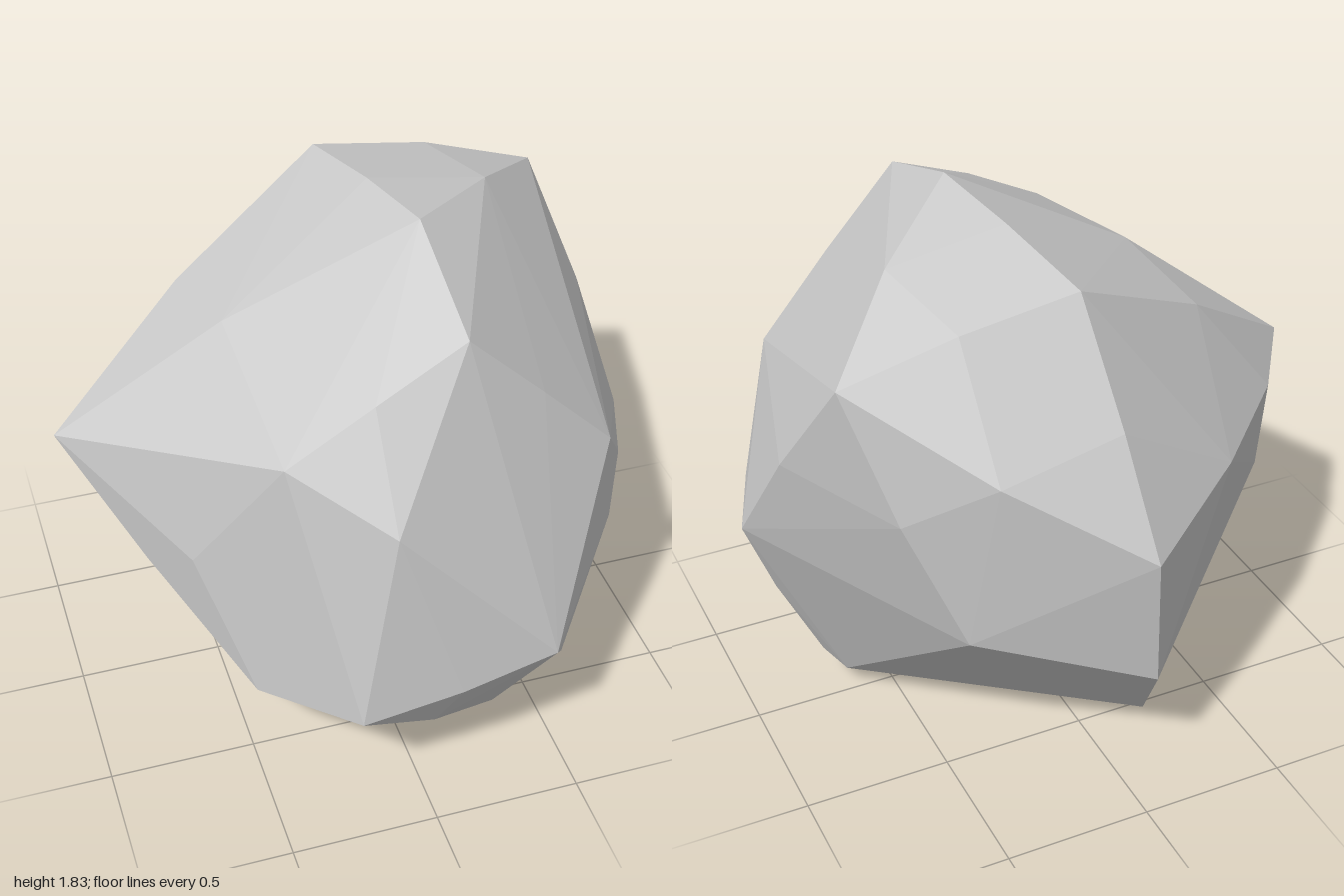
import * as THREE from 'three';
import { ConvexGeometry } from 'three/addons/geometries/ConvexGeometry.js';

// Main corners of the boulder
const corners = [
  [-1, 1.09, -0.02], [0.17, 1.83, 0.2], [0.17, 1.68, 0.66], [0.82, 1.55, -0.5],
  [1, 0.8, 0], [-0.02, 0.98, -0.98], [0.04, 1.72, -0.53], [-0.43, 1.4, 0.75],
  [-0.25, 0.49, 0.97], [0.41, 0.6, 0.95], [0.7, 1.14, 0.59], [0.73, 0.8, 0.58],
  [-0.52, 0.45, 0.68], [0.3, 0.17, 0.7], [-0.33, 0, 0.05], [0.66, 0.08, 0.02],
  [0.72, 0.14, 0.09], [-0.22, 0.03, -0.56], [0.49, 0.64, -0.69], [-0.79, 0.73, -0.28],
];

// Slight swellings along the edges and across the broad faces
const swellings = [
  [0.52, 1.72, -0.15], [0.11, 1.79, -0.15], [-0.45, 1.51, 0.1], [-0.14, 1.55, 0.72],
  [-0.13, 1.2, 0.93], [0.08, 0.55, 0.98], [0.03, 0.32, 0.86], [0.93, 1.18, -0.25],
  [0.88, 0.48, 0.07], [0.89, 0.81, 0.29], [0.44, 1.41, 0.63], [0.01, 1.35, -0.78],
  [0.44, 1.66, -0.53], [0.42, 1.26, -0.78], [0.68, 1.1, -0.62], [-0.07, 0.47, -0.91],
  [-0.45, 1.05, -0.66], [-0.8, 1.06, -0.31], [-0.51, 1.43, -0.29], [-0.78, 0.77, 0.3],
  [-0.67, 0.9, 0.5], [-0.45, 0.14, 0.32], [-0.6, 0.36, -0.1], [0, 0.06, 0.4],
  [0.15, 0.01, -0.2], [0.46, 0.52, 0.87], [0.48, 0.1, 0.37],
];

export function createModel() {
  const group = new THREE.Group();
  group.name = 'rock';

  // Faceted stone body
  const points = [...corners, ...swellings].map((p) => new THREE.Vector3(...p));
  const material = new THREE.MeshStandardMaterial({ color: 0xcccccc, flatShading: true });
  const boulder = new THREE.Mesh(new ConvexGeometry(points), material);
  boulder.name = 'boulder';
  group.add(boulder);

  return group;
}
